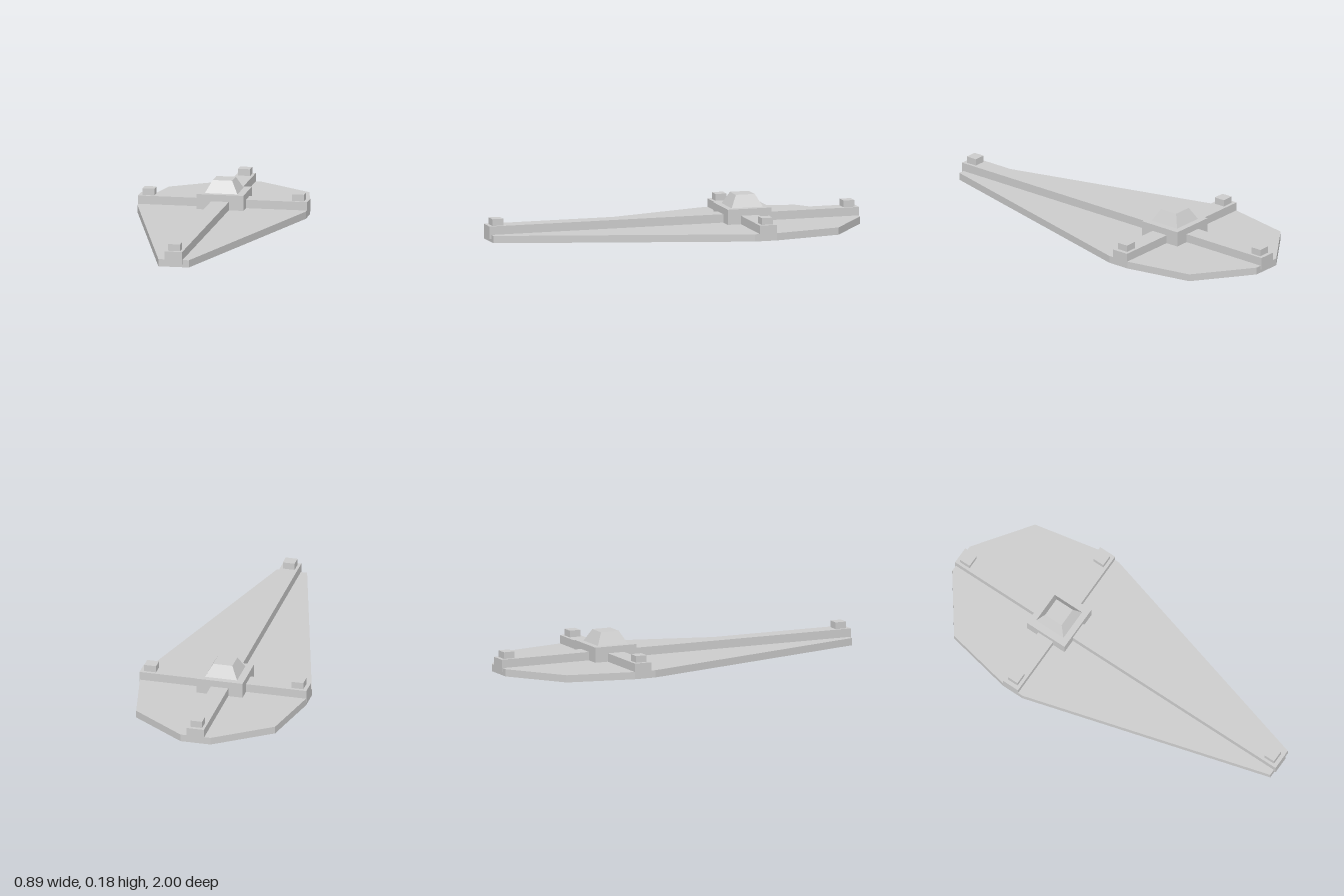
import * as THREE from 'three';

export function createModel() {
  const group = new THREE.Group();
  const material = new THREE.MeshStandardMaterial({ color: 0xcccccc, flatShading: true });
  const hubZ = -0.383;

  const add = (name, geometry, x, y, z) => {
    const mesh = new THREE.Mesh(geometry, material);
    mesh.name = name;
    mesh.position.set(x, y, z);
    group.add(mesh);
    return mesh;
  };
  // Box given by its footprint centre and its bottom and top heights
  const addBox = (name, width, depth, bottom, top, x, z) =>
    add(name, new THREE.BoxGeometry(width, top - bottom, depth), x, (bottom + top) / 2, z);

  // Shield plate: half outline from back to front, mirrored across x
  const half = [[0.08, -0.995], [0.37, -0.785], [0.442, -0.43], [0.442, -0.31], [0.08, 0.99]];
  const outline = [...half, ...half.map(([x, z]) => [-x, z]).reverse()];
  const shape = new THREE.Shape(outline.map(([x, z]) => new THREE.Vector2(x, -z)));
  const plate = new THREE.ExtrudeGeometry(shape, { depth: 0.038, bevelEnabled: false });
  plate.rotateX(-Math.PI / 2);
  add('shieldPlate', plate, 0, 0, 0);

  // Crossed reinforcing bars
  addBox('longBar', 0.093, 2, 0.017, 0.082, 0, 0);
  addBox('crossBar', 0.888, 0.093, 0.017, 0.082, 0, hubZ);

  // Central hub with a tapered boss
  addBox('hub', 0.245, 0.235, 0.02, 0.117, 0, hubZ);
  const boss = new THREE.CylinderGeometry(0.051 * Math.SQRT2, 0.085 * Math.SQRT2, 0.063, 4);
  boss.rotateY(Math.PI / 4);
  add('boss', boss, 0, 0.1485, hubZ);

  // Square studs near the bar ends
  for (const side of [-1, 1]) {
    addBox('crossBarStud', 0.063, 0.06, 0.08, 0.117, side * 0.392, hubZ);
    addBox('longBarStud', 0.063, 0.06, 0.08, 0.117, 0, side * 0.95);
  }
  return group;
}
